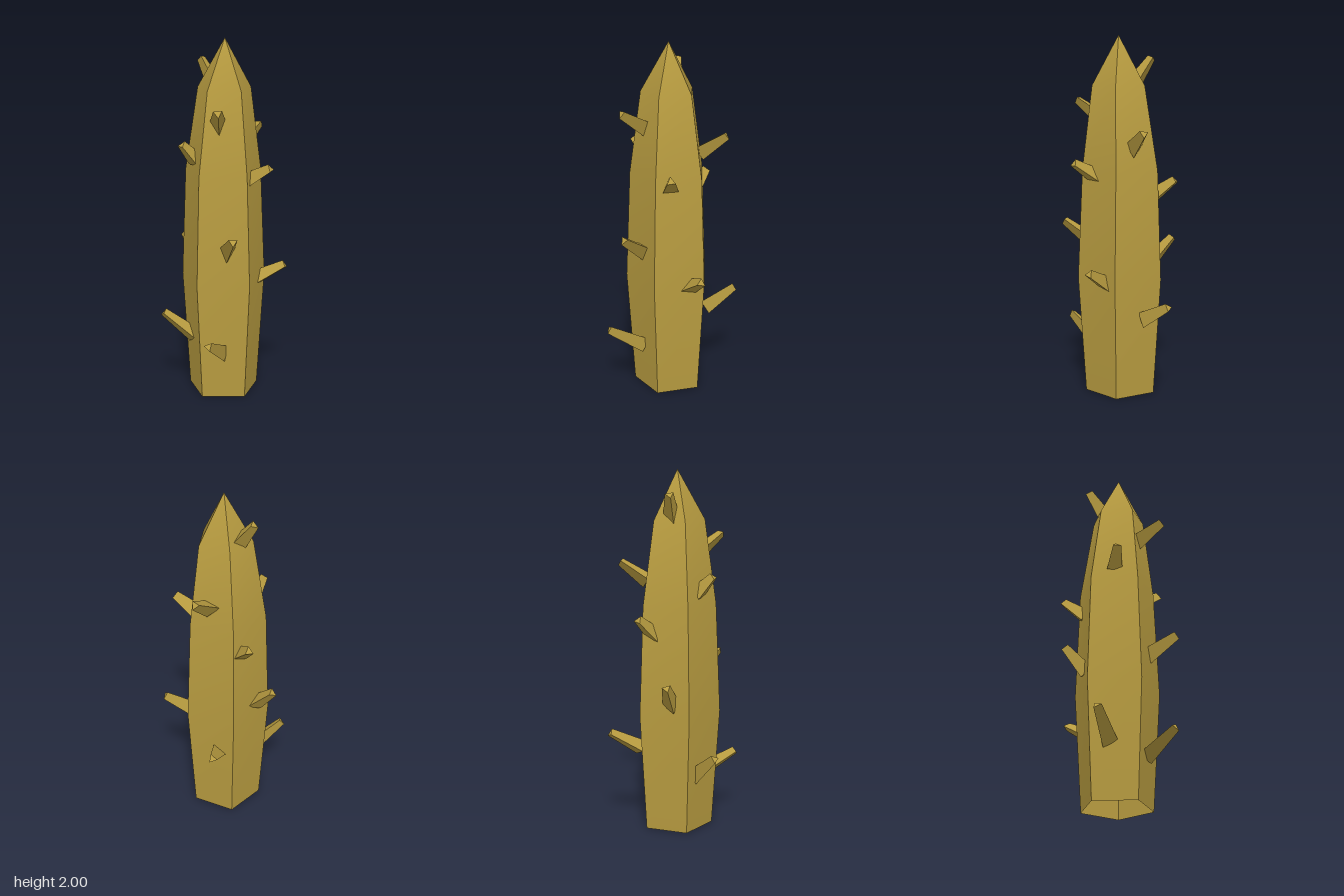
import * as THREE from 'three';
import { toCreasedNormals } from 'three/addons/utils/BufferGeometryUtils.js';

const SIDES = 5;

// Five-sided hollow trunk, open underneath, closing to a point
function trunkGeometry() {
  // height, radius, centre x
  const rings = [[0, 0.202, 0.003], [0.66, 0.244, 0.003], [1.27, 0.219, 0.001], [1.73, 0.152, 0.012]];
  const cz = 0.017;
  const positions = [];
  const index = [];
  for (const [y, r, cx] of rings) {
    for (let j = 0; j < SIDES; j++) {
      const a = (j / SIDES) * Math.PI * 2;
      positions.push(cx + r * Math.cos(a), y, cz + r * Math.sin(a));
    }
  }
  positions.push(0.017, 2, cz);
  const tip = rings.length * SIDES;
  for (let i = 0; i < rings.length; i++) {
    for (let j = 0; j < SIDES; j++) {
      const a = i * SIDES + j;
      const b = i * SIDES + ((j + 1) % SIDES);
      if (i === rings.length - 1) index.push(a, tip, b);
      else index.push(a, a + SIDES, b, b, a + SIDES, b + SIDES);
    }
  }
  const geometry = new THREE.BufferGeometry();
  geometry.setAttribute('position', new THREE.Float32BufferAttribute(positions, 3));
  geometry.setIndex(index);
  return toCreasedNormals(geometry, 0.7);
}

// Three-sided tapered thorn running from root to tip, sunk a little into the trunk
function thornGeometry(root, tip) {
  const from = new THREE.Vector3(...root);
  const to = new THREE.Vector3(...tip);
  const dir = to.clone().sub(from).normalize();
  from.addScaledVector(dir, -0.03);
  const length = from.distanceTo(to);
  const geometry = new THREE.CylinderGeometry(0.027, 0.051, length, 3, 1, false, Math.PI).toNonIndexed();
  geometry.translate(0, length / 2, 0);
  geometry.applyQuaternion(new THREE.Quaternion().setFromUnitVectors(new THREE.Vector3(0, 1, 0), dir));
  geometry.translate(from.x, from.y, from.z);
  geometry.computeVertexNormals();
  return geometry;
}

export function createModel() {
  const model = new THREE.Group();
  model.name = 'thornyPillar';
  const ochre = new THREE.MeshStandardMaterial({ color: 0xb89c40, side: THREE.DoubleSide });
  ochre.name = 'ochre';

  const trunk = new THREE.Mesh(trunkGeometry(), ochre);
  trunk.name = 'trunk';
  model.add(trunk);

  // Thorns, from the top down: root, tip
  const thorns = [
    [[-0.09, 1.76, 0.022], [-0.172, 1.875, 0.04]],
    [[0.108, 1.555, 0.127], [0.218, 1.64, 0.207]],
    [[-0.042, 1.41, -0.16], [-0.065, 1.495, -0.285]],
    [[-0.052, 1.355, 0.18], [-0.057, 1.435, 0.25]],
    [[0.178, 1.25, -0.05], [0.282, 1.32, -0.093]],
    [[-0.18, 1.13, -0.062], [-0.278, 1.215, -0.1]],
    [[0.169, 0.86, 0.11], [0.302, 0.96, 0.17]],
    [[-0.2, 0.75, 0.057], [-0.304, 0.86, 0.07]],
    [[0.128, 0.66, -0.148], [0.225, 0.74, -0.246]],
    [[-0.11, 0.46, -0.178], [-0.2, 0.55, -0.302]],
    [[-0.09, 0.33, 0.18], [-0.178, 0.455, 0.303]],
    [[0.145, 0.28, 0.14], [0.245, 0.38, 0.292]],
  ];
  const thornGroup = new THREE.Group();
  thornGroup.name = 'thorns';
  thorns.forEach(([root, tip], i) => {
    const thorn = new THREE.Mesh(thornGeometry(root, tip), ochre);
    thorn.name = `thorn${i + 1}`;
    thornGroup.add(thorn);
  });
  model.add(thornGroup);
  return model;
}
